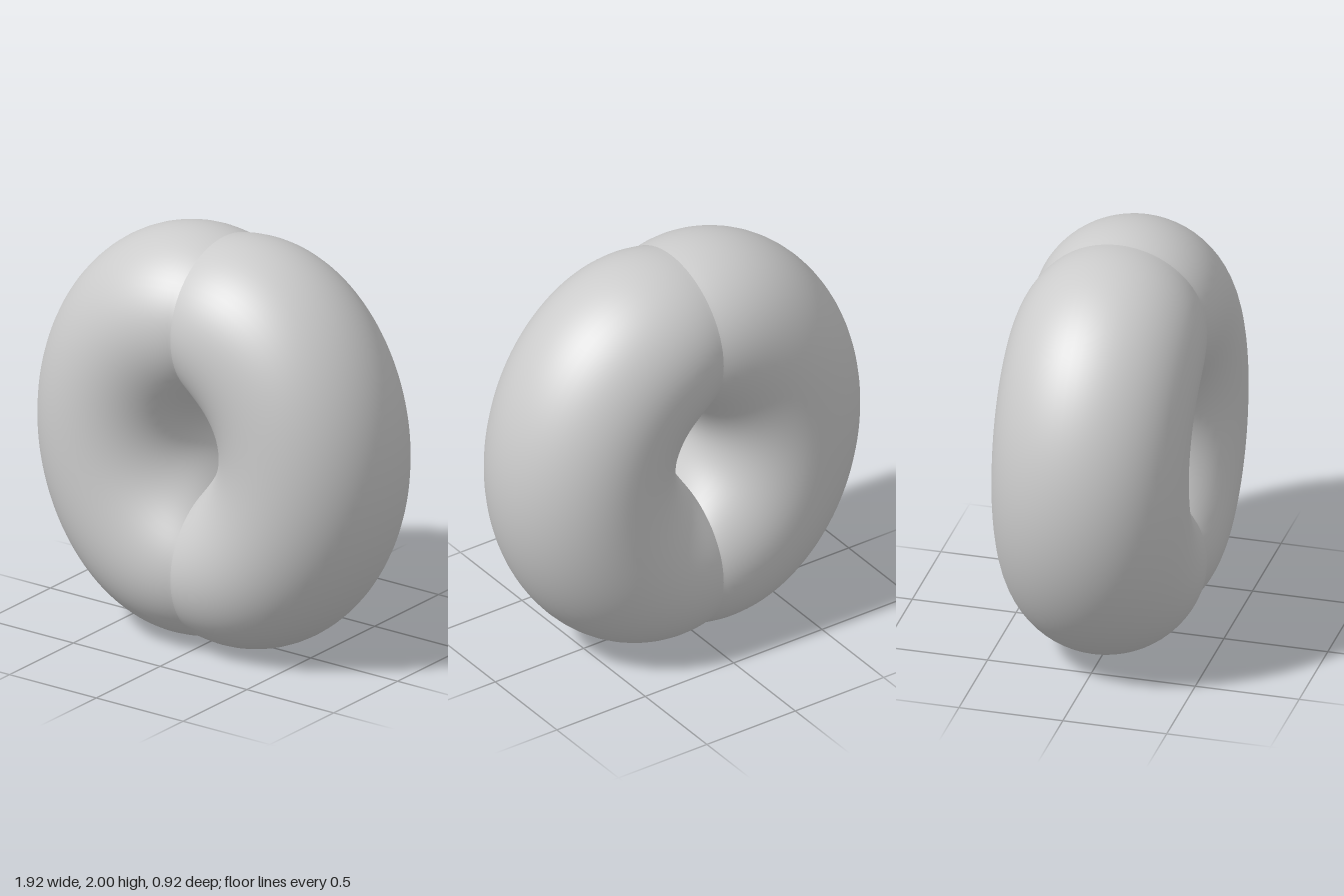
import * as THREE from 'three';

const STATIONS = 96, SIDES = 64;
const END_ANGLE = Math.acos(-0.14 / 0.82); // where the outer ellipse meets x = 0

// One C-shaped half: elliptical sections swept from the bottom seam (t = -1) to the top seam (t = 1)
function halfRingGeometry() {
  const positions = [], index = [];
  for (let i = 0; i <= STATIONS; i++) {
    const t = (i / STATIONS) * 2 - 1;
    const angle = t * END_ANGLE, t2 = t * t;
    const outer = new THREE.Vector2(0.14 + 0.82 * Math.cos(angle), 1 + Math.sin(angle));
    const inner = new THREE.Vector2(0.085 * (1 - t2) * (1 - 0.25 * t2), 1 + 0.21 * t);
    const depth = 0.46 - 0.04 * t2 ** 3; // narrows toward the seam
    const centre = outer.clone().add(inner).multiplyScalar(0.5);
    const reach = outer.clone().sub(inner).multiplyScalar(0.5);
    for (let j = 0; j < SIDES; j++) {
      const v = (j / SIDES) * Math.PI * 2, c = Math.cos(v);
      positions.push(centre.x + reach.x * c, centre.y + reach.y * c, depth * Math.sin(v));
    }
  }
  for (let i = 0; i < STATIONS; i++) {
    for (let j = 0; j < SIDES; j++) {
      const k = (j + 1) % SIDES;
      const a = i * SIDES + j, b = a + SIDES;
      const d = i * SIDES + k, c = d + SIDES;
      index.push(a, b, d, b, c, d);
    }
  }
  const geometry = new THREE.BufferGeometry();
  geometry.setAttribute('position', new THREE.Float32BufferAttribute(positions, 3));
  geometry.setIndex(index);
  geometry.computeVertexNormals();
  return geometry;
}

export function createModel() {
  const group = new THREE.Group();
  group.name = 'creasedRing';
  const geometry = halfRingGeometry();
  const material = new THREE.MeshStandardMaterial({ color: 0xcccccc, side: THREE.DoubleSide });

  // Two equal halves meet in a sharp crease at x = 0
  ['leftHalf', 'rightHalf'].forEach((name, i) => {
    const half = new THREE.Mesh(geometry, material);
    half.name = name;
    half.rotation.y = i * Math.PI;
    group.add(half);
  });
  return group;
}
